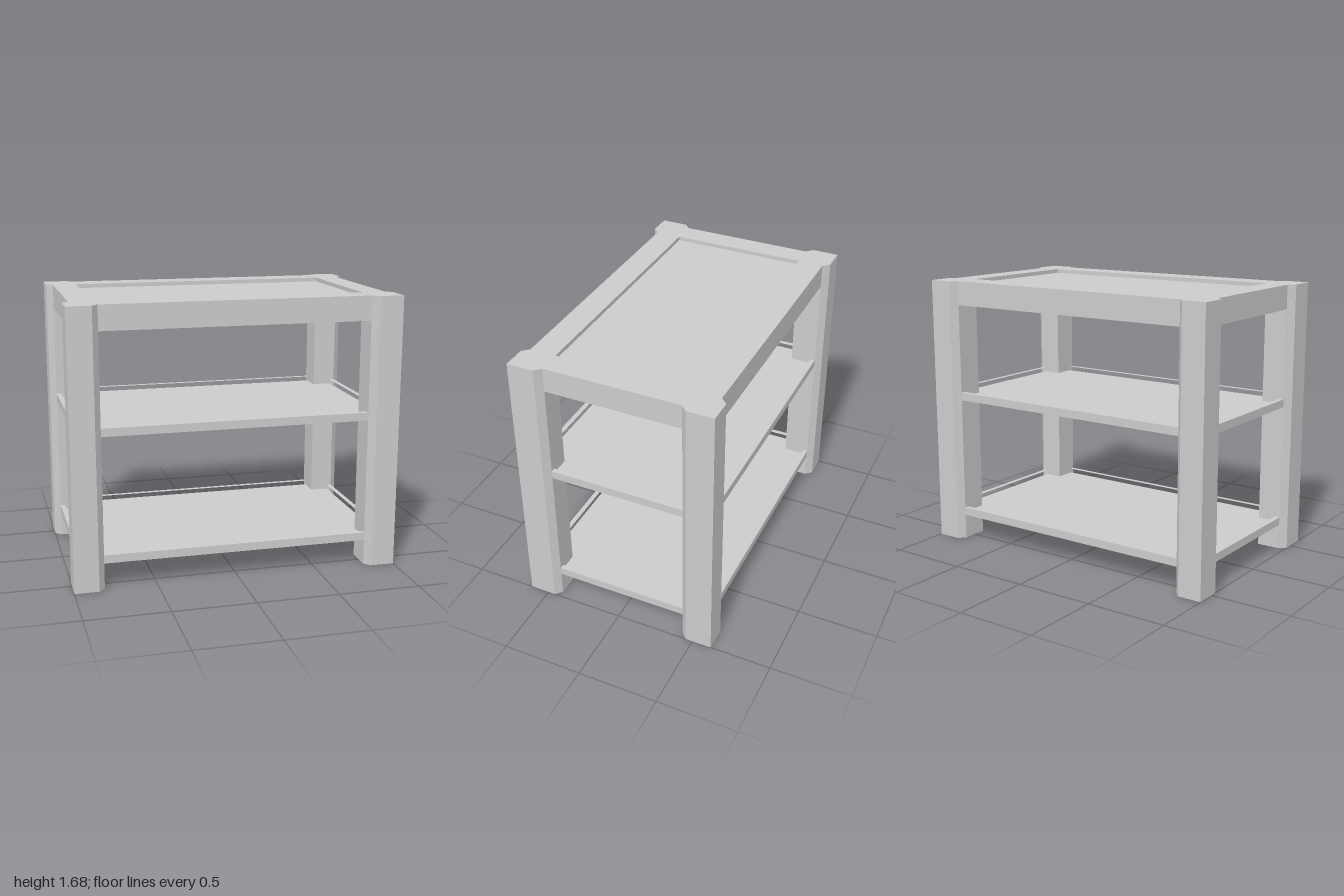
import * as THREE from 'three';

const material = new THREE.MeshStandardMaterial({ color: 0xcccccc, flatShading: true });

const H = 1.685;             // overall height
const RIM = 1.645;           // underside of the table top
const OX = 0.96, OZ = 0.58;  // outer faces of rails and shelves
const IX = 0.815, IZ = 0.418; // inner corner of the legs

// One leg section, in the +x +z quadrant, from the front rail round to the side rail
const LEG = [[IX, OZ], [0.852, 0.62], [1, 0.62], [1, 0.455], [OX, IZ]];

const vectors = (pts) => pts.map(([x, z]) => new THREE.Vector2(x, -z));
const rect = (x, z) => [[-x, -z], [x, -z], [x, z], [-x, z]];

// Extrude a plan outline (x, z) upwards from y0 to y1, with an optional hole
function slab(name, outline, y0, y1, hole) {
  const shape = new THREE.Shape(vectors(outline));
  if (hole) shape.holes.push(new THREE.Path(vectors(hole)));
  const geometry = new THREE.ExtrudeGeometry(shape, { depth: y1 - y0, bevelEnabled: false });
  geometry.rotateX(-Math.PI / 2).translate(0, y0, 0);
  const mesh = new THREE.Mesh(geometry, material);
  mesh.name = name;
  return mesh;
}

// Shallow tray: flat board with a thin raised lip
function createShelf(name, y) {
  const shelf = new THREE.Group();
  shelf.name = name;
  const lip = 0.03;
  shelf.add(slab('shelfBoard', rect(OX - lip, OZ - lip), y, y + 0.022));
  shelf.add(slab('shelfLip', rect(OX, OZ), y, y + 0.05, rect(OX - lip, OZ - lip)));
  return shelf;
}

export function createModel() {
  const table = new THREE.Group();
  table.name = 'shelfTable';

  // Chamfered corner legs
  for (const [sx, sz, name] of [
    [1, 1, 'frontLeftLeg'], [-1, 1, 'frontRightLeg'],
    [1, -1, 'backLeftLeg'], [-1, -1, 'backRightLeg'],
  ]) {
    const section = [...LEG, [IX, IZ]].map(([x, z]) => [x * sx, z * sz]);
    table.add(slab(name, section, 0, RIM));
  }

  // Top rim follows the legs at the corners and frames the sunken panel
  const back = LEG.map(([x, z]) => [x, -z]);
  const right = [...LEG, ...back.reverse()];
  const left = right.map(([x, z]) => [-x, z]).reverse();
  table.add(slab('topRim', [...right, ...left], RIM, H, rect(IX, 0.42)));
  table.add(slab('topPanel', rect(IX + 0.01, 0.43), RIM, 1.66));

  // Apron rails under the rim
  const t = 0.05;
  table.add(slab('apron', rect(OX, OZ), 1.535, RIM, rect(OX - t, OZ - t)));

  table.add(createShelf('middleShelf', 0.925));
  table.add(createShelf('lowerShelf', 0.157));
  return table;
}
